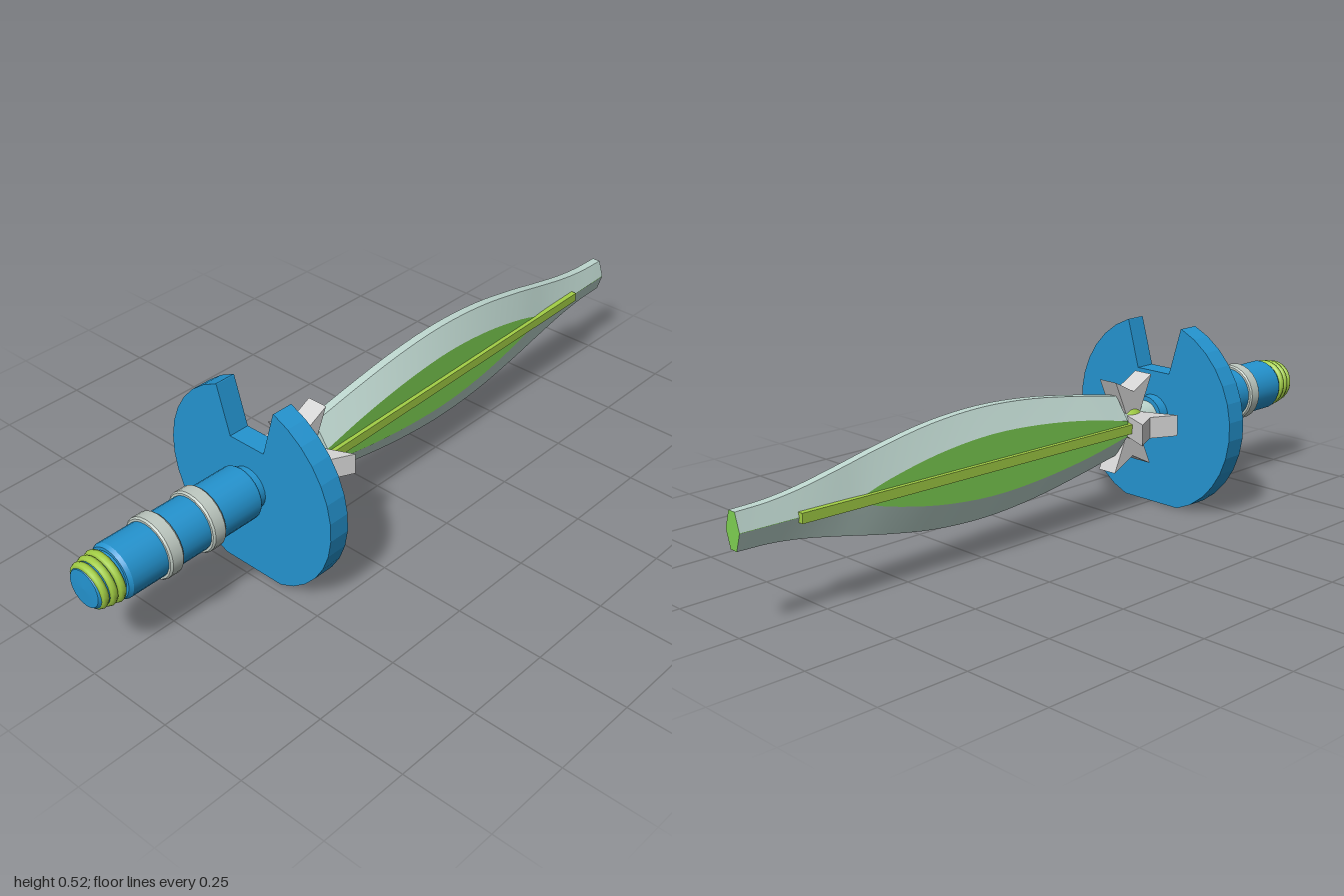
import * as THREE from 'three';

const AXIS_Y = 0.26;

function material(name, color) {
  const m = new THREE.MeshStandardMaterial({ color });
  m.name = name;
  return m;
}

export function createModel() {
  const blue = material('blue', 0x2494d0);
  const blade = material('pale steel', 0xbfd8d0);
  const panel = material('bright green', 0x7ed052);
  const lime = material('lime trim', 0xa3cf45);
  const ringGrey = material('ring grey', 0xbfcac2);
  const silver = material('silver', 0xd4d4d4);

  const group = new THREE.Group();
  group.name = 'sword';
  const body = new THREE.Group();
  body.name = 'swordAxis';
  body.position.y = AXIS_Y;
  group.add(body);

  const add = (name, geo, mat, parent = body) => {
    const m = new THREE.Mesh(geo, mat);
    m.name = name;
    parent.add(m);
    return m;
  };

  // Turned part along z; profile is [radius, z], listed from back to front
  const turned = (name, profile, mat, sides = 24) => {
    const geos = [];
    for (let i = 0; i < profile.length - 1; i++) {
      const pts = [profile[i], profile[i + 1]].map(([r, z]) => new THREE.Vector2(r, z));
      geos.push(new THREE.LatheGeometry(pts, sides).rotateX(Math.PI / 2));
    }
    const part = new THREE.Group();
    part.name = name;
    geos.forEach((g) => add(name + 'Face', g, mat, part));
    body.add(part);
  };

  // Handle
  turned('grip', [[0, 0.5], [0.07, 0.5], [0.074, 0.506], [0.074, 0.912], [0.068, 0.922], [0, 0.922]], blue);
  turned('neck', [[0, 0.385], [0.058, 0.385], [0.058, 0.5]], blue);
  for (const z of [0.65, 0.785]) {
    turned('gripRing', [[0.07, z - 0.021], [0.08, z - 0.021], [0.084, z - 0.016],
      [0.084, z + 0.016], [0.08, z + 0.021], [0.07, z + 0.021]], ringGrey);
  }

  // Pommel: blue core wrapped by slightly tilted lime rings
  turned('pommelCore', [[0.06, 0.92], [0.058, 0.985], [0.05, 0.997], [0, 0.999]], blue);
  [[0.06, 0.937], [0.057, 0.959], [0.052, 0.981]].forEach(([r, z]) => {
    const ring = add('pommelRing', new THREE.TorusGeometry(r, 0.011, 8, 24), lime);
    ring.position.z = z;
    ring.rotation.x = 0.06;
  });

  // Guard: disc with a flat bottom and a tapered notch on top
  const guard = new THREE.Shape();
  const R = 0.28;
  const start = Math.atan2(0.26, 0.098);
  const end = -start;
  guard.moveTo(0.058, 0.127);
  guard.lineTo(0.097, 0.26);
  const steps = 13;
  for (let i = 0; i <= steps; i++) {
    const a = start + ((end - start) * i) / steps;
    guard.lineTo(Math.cos(a) * R, Math.max(-0.26, Math.sin(a) * R));
  }
  for (let i = steps; i >= 0; i--) {
    const a = start + ((end - start) * i) / steps;
    guard.lineTo(-Math.cos(a) * R, Math.max(-0.26, Math.sin(a) * R));
  }
  guard.lineTo(-0.097, 0.26);
  guard.lineTo(-0.058, 0.127);
  guard.closePath();
  add('guard', new THREE.ExtrudeGeometry(guard, { depth: 0.06, bevelEnabled: false })
    .translate(0, 0, 0.416), blue);

  // Collar: four swallow-tailed prongs around a lime ball
  const tail = new THREE.Shape([[-0.028, 0.03], [0.028, 0.03], [0.073, 0.13], [0, 0.093], [-0.073, 0.13]]
    .map(([x, y]) => new THREE.Vector2(x, y)));
  const prong = new THREE.ExtrudeGeometry(tail, { depth: 0.06, bevelEnabled: false })
    .translate(0, 0, -0.03).rotateY(Math.PI / 2).translate(0, 0, 0.3);
  for (let i = 0; i < 4; i++) {
    add('collarProng', prong, silver).rotation.z = (i * Math.PI) / 2;
  }
  const ball = add('collarBall', new THREE.SphereGeometry(0.052, 20, 14), lime);
  ball.position.z = 0.3;
  turned('tang', [[0, 0.2], [0.045, 0.2], [0.045, 0.39]], blade);

  // Blade sections: [z, half height, half height of the green panel]
  const keys = [[0.25, 0.085, 0.022], [0.1, 0.112, 0.052], [-0.08, 0.138, 0.075], [-0.25, 0.148, 0.082],
    [-0.42, 0.138, 0.067], [-0.58, 0.111, 0.034], [-0.7, 0.085, 0], [-0.82, 0.061, 0],
    [-0.91, 0.05, 0], [-1, 0.047, 0]];
  const curve = new THREE.CatmullRomCurve3(keys.map(([z, h, p]) => new THREE.Vector3(z, h, p)));
  const halfWidth = (z) => 0.027 + 0.0224 * (z + 1);
  const sections = curve.getPoints(36).map(({ x: z, y: h, z: p }) => {
    const w = halfWidth(z);
    const c = 0.012;
    const q = Math.max(p, 0.0005);
    return [[c, h], [w, q], [w, -q], [c, -h], [-c, -h], [-w, -q], [-w, q], [-c, h]]
      .map(([x, y]) => [x, y, z]);
  });

  // One smooth strip per facet keeps the long edges sharp
  const bladeGroup = new THREE.Group();
  bladeGroup.name = 'blade';
  body.add(bladeGroup);
  for (let k = 0; k < 8; k++) {
    const pos = [];
    const idx = [];
    sections.forEach((s, i) => {
      pos.push(...s[k], ...s[(k + 1) % 8]);
      if (i === 0) return;
      const a = 2 * (i - 1);
      idx.push(a, a + 1, a + 2, a + 1, a + 3, a + 2);
    });
    const g = new THREE.BufferGeometry();
    g.setAttribute('position', new THREE.Float32BufferAttribute(pos, 3));
    g.setIndex(idx);
    g.computeVertexNormals();
    const isPanel = k === 1 || k === 5;
    add(isPanel ? 'bladePanel' : 'bladeFacet', g, isPanel ? panel : blade, bladeGroup);
  }

  // Blade ends: green tip and closed base
  const outline = (s) => new THREE.ShapeGeometry(new THREE.Shape(s.map(([x, y]) => new THREE.Vector2(x, y))));
  add('bladeTip', outline(sections[sections.length - 1]).rotateY(Math.PI).translate(0, 0, -1), panel, bladeGroup);
  add('bladeBase', outline(sections[0]).translate(0, 0, 0.25), blade, bladeGroup);

  // Raised rib along both sides, tapering with the blade
  const rib = new THREE.BoxGeometry(2, 0.026, 1.25);
  rib.translate(0, 0, -0.215);
  const rp = rib.attributes.position;
  for (let i = 0; i < rp.count; i++) {
    rp.setX(i, Math.sign(rp.getX(i)) * (halfWidth(rp.getZ(i)) + 0.012));
  }
  rib.computeVertexNormals();
  add('bladeRib', rib, lime);

  return group;
}
